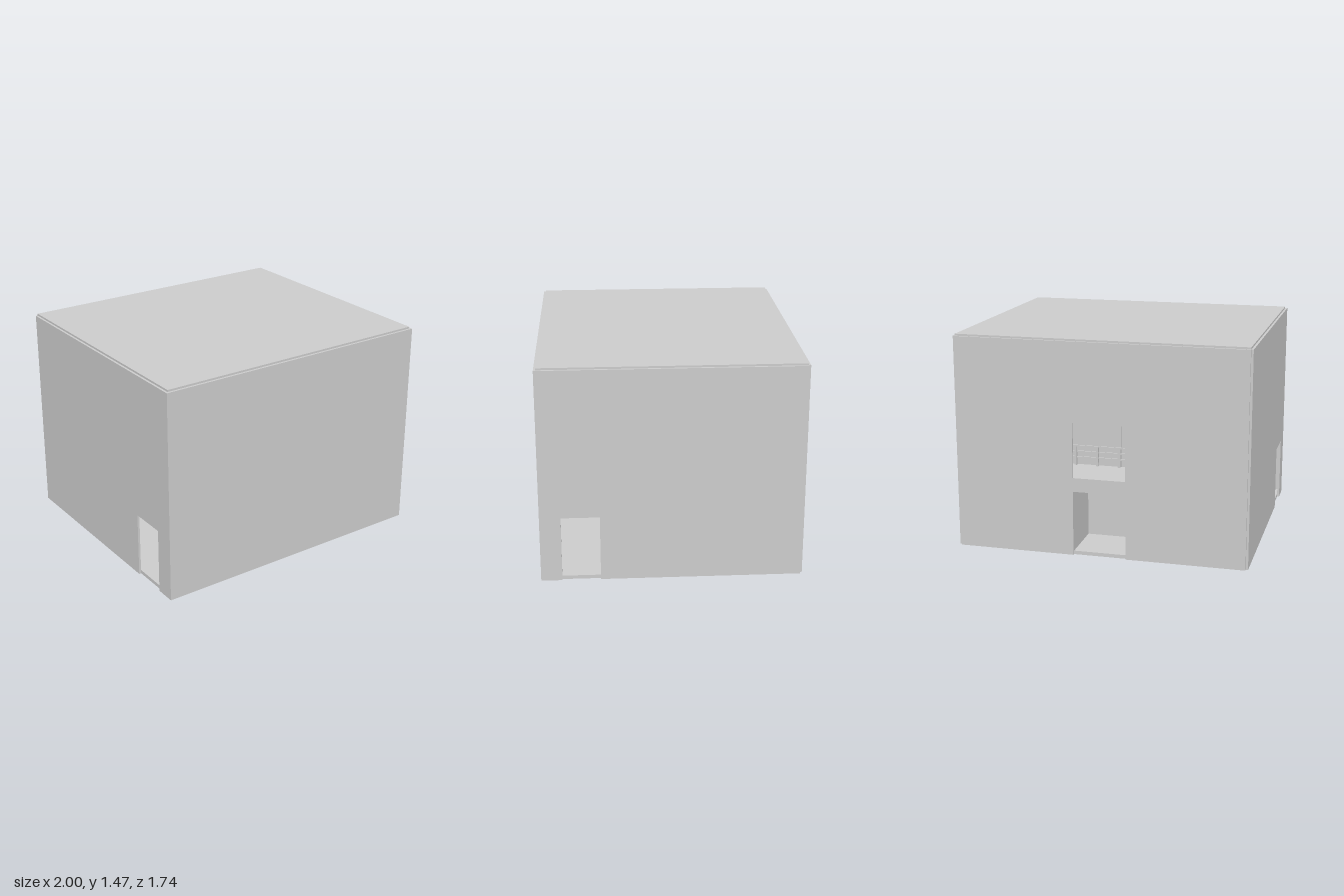
import * as THREE from 'three';

const X = 1, Z = 0.87, T = 0.015, H = 1.457;
const XI = X - T, ZI = Z - T;          // inner faces of the walls
const FLOOR = 0.025, UPPER = 0.53;     // walking levels
const EDGE = -0.51;                    // front edge of the upper floor

export function createModel() {
  const group = new THREE.Group();
  const mat = new THREE.MeshStandardMaterial({ color: 0xcccccc });

  const add = (name, geometry) => {
    const mesh = new THREE.Mesh(geometry, mat);
    mesh.name = name;
    group.add(mesh);
    return mesh;
  };
  const box = (name, x0, x1, y0, y1, z0, z1) =>
    add(name, new THREE.BoxGeometry(x1 - x0, y1 - y0, z1 - z0))
      .position.set((x0 + x1) / 2, (y0 + y1) / 2, (z0 + z1) / 2);

  // Wall panel with a doorway cut up from the ground and an optional window
  const wall = (half, door, win) => {
    const [d0, d1, dh] = door;
    const shape = new THREE.Shape([
      [-half, 0], [d0, 0], [d0, dh], [d1, dh], [d1, 0], [half, 0], [half, H], [-half, H],
    ].map(([a, b]) => new THREE.Vector2(a, b)));
    if (win) {
      const [a0, a1, b0, b1] = win;
      shape.holes.push(new THREE.Path([
        [a0, b0], [a0, b1], [a1, b1], [a1, b0],
      ].map(([a, b]) => new THREE.Vector2(a, b))));
    }
    return new THREE.ExtrudeGeometry(shape, { depth: T, bevelEnabled: false });
  };

  // Outer shell
  box('floor', -XI, XI, 0, FLOOR, -ZI, ZI);
  box('roof', -XI, XI, H - 0.002, 1.47, -ZI, ZI);
  box('frontWall', -X, X, 0, H, ZI, Z);
  add('backWall', wall(XI, [-0.18, 0.18, 0.445], [-0.18, 0.18, 0.54, 0.915])).position.z = -Z;
  for (const [name, x] of [['leftWall', X], ['rightWall', -XI]]) {
    const g = wall(ZI, [0.475, 0.73, 0.45]);
    g.rotateY(-Math.PI / 2);
    add(name, g).position.x = x;
  }

  // Horizontal bands and posts inside the front wall
  for (const [y0, y1] of [[FLOOR, 0.1], [0.46, 0.54], [1.38, 1.455]])
    box('frontWallBand', -XI, XI, y0, y1, ZI - 0.01, ZI);
  for (const x of [-0.95, -0.33, 0.33, 0.95])
    box('frontWallPost', x - 0.03, x + 0.03, FLOOR, 1.455, ZI - 0.008, ZI);
  for (const s of [-1, 1]) {
    const a = s * XI, b = s * (XI - 0.01);
    box('sideWallBand', Math.min(a, b), Math.max(a, b), 1.38, 1.455, -ZI, ZI - 0.01);
  }

  // Upper floor along the back, with the entrance alcove under it
  box('upperFloor', -XI, XI, UPPER - 0.05, UPPER, -ZI, EDGE);
  box('alcoveEnd', -0.195, 0.195, FLOOR, UPPER - 0.05, EDGE, EDGE + T);
  box('alcoveCeiling', -0.18, 0.18, 0.445, 0.46, -ZI, EDGE);
  for (const s of [-1, 1])
    box('alcoveSide', s * 0.1875 - 0.0075, s * 0.1875 + 0.0075, FLOOR, UPPER - 0.05, -ZI, EDGE);

  // Stairs along the left wall, rising to the upper floor
  const steps = 14, zStart = 0.35, sx0 = 0.58;
  const run = (zStart - EDGE) / steps, rise = (UPPER - FLOOR) / steps;
  for (let i = 0; i < steps; i++) {
    const top = FLOOR + rise * (i + 1), z = zStart - run * i;
    box('stairTread', sx0, XI, top - 0.015, top, z - run - 0.008, z);
    if (i % 2 === 0) box('stairBaluster', sx0, sx0 + 0.01, top, top + 0.13, z - 0.035, z - 0.025);
  }

  // Sloping bar parallel to the stairs
  const slopeBar = (name, x, lift, thick) => {
    const dz = EDGE - zStart, dy = UPPER - FLOOR;
    const bar = add(name, new THREE.BoxGeometry(0.015, thick, Math.hypot(dz, dy)));
    bar.position.set(x, (FLOOR + UPPER) / 2 + lift, (zStart + EDGE) / 2);
    bar.rotation.x = Math.atan2(dy, -dz);
  };
  slopeBar('stairHandrail', sx0 + 0.005, 0.15, 0.015);
  slopeBar('stairStringer', sx0 - 0.005, 0, 0.05);

  // Railing on the upper floor edge
  const railEnd = sx0;
  for (const y of [0.58, 0.62, 0.66])
    box('railBar', -XI, railEnd, y, y + 0.01, EDGE - 0.02, EDGE - 0.01);
  for (let i = 0; i <= 10; i++) {
    const x = -XI + 0.01 + (railEnd + XI - 0.02) * i / 10;
    box('railPost', x - 0.008, x + 0.008, UPPER, 0.67, EDGE - 0.025, EDGE - 0.009);
  }

  return group;
}
